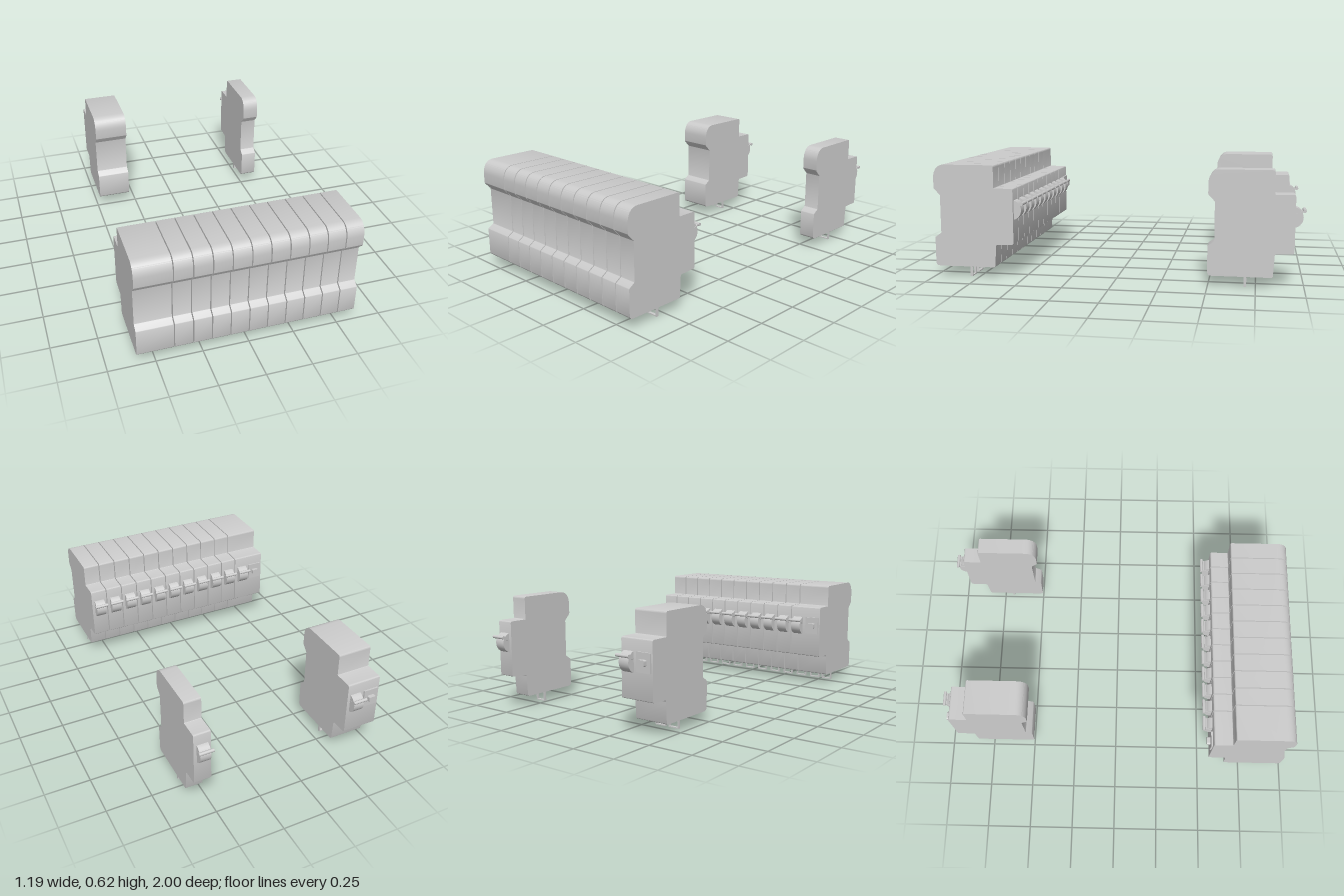
import * as THREE from 'three';
import { toCreasedNormals } from 'three/addons/utils/BufferGeometryUtils.js';

const material = new THREE.MeshStandardMaterial({ color: 0xcccccc });

// side profile of a breaker housing: z, y, corner radius
const PROFILE = [
  [0.997, 0.057, 0.022], [0.997, 0.217, 0.004], [0.962, 0.241, 0.004],
  [0.962, 0.451, 0.004], [0.997, 0.487, 0.006], [0.997, 0.575, 0.03],
  [0.965, 0.618, 0.03], [0.657, 0.618, 0.012], [0.657, 0.493, 0.004],
  [0.551, 0.493, 0.012], [0.551, 0.187, 0.01], [0.65, 0.183, 0.01],
  [0.657, 0.057, 0.012],
];

// closed shape with softened corners
function roundedShape(points) {
  const shape = new THREE.Shape();
  const n = points.length;
  points.forEach(([x, y, r], i) => {
    const p = new THREE.Vector2(x, y);
    const toward = ([qx, qy]) => new THREE.Vector2(qx - x, qy - y).setLength(r).add(p);
    const a = toward(points[(i + n - 1) % n]);
    const b = toward(points[(i + 1) % n]);
    if (i === 0) shape.moveTo(a.x, a.y);
    else shape.lineTo(a.x, a.y);
    shape.quadraticCurveTo(x, y, b.x, b.y);
  });
  shape.closePath();
  return shape;
}

function housingGeometry(width) {
  const g = new THREE.ExtrudeGeometry(roundedShape(PROFILE), {
    depth: width, bevelEnabled: false, curveSegments: 5,
  });
  g.rotateY(-Math.PI / 2).translate(width / 2, 0, 0);
  return toCreasedNormals(g, 0.6);
}

// open rectangular terminal loop
function terminalGeometry() {
  const w = 0.032, wall = 0.006, top = 0.06;
  const outer = new THREE.Shape([
    new THREE.Vector2(-w, 0), new THREE.Vector2(w, 0),
    new THREE.Vector2(w, top), new THREE.Vector2(-w, top),
  ]);
  outer.holes.push(new THREE.Path([
    new THREE.Vector2(-w + wall, wall), new THREE.Vector2(-w + wall, top - wall),
    new THREE.Vector2(w - wall, top - wall), new THREE.Vector2(w - wall, wall),
  ]));
  return new THREE.ExtrudeGeometry(outer, { depth: 0.014, bevelEnabled: false })
    .translate(0, 0, 0.793);
}

const drum = (radius, width) =>
  toCreasedNormals(new THREE.CylinderGeometry(radius, radius, width, 32).rotateZ(Math.PI / 2), 0.6);

const shared = {
  single: housingGeometry(0.094),
  double: housingGeometry(0.194),
  terminal: terminalGeometry(),
  hub: drum(0.055, 0.06),
  neck: new THREE.BoxGeometry(0.066, 0.009, 0.05),
  bar: drum(0.009, 0.08),
  plate: new THREE.BoxGeometry(0.085, 0.1, 0.02),
  button: new THREE.ExtrudeGeometry(roundedShape([
    [-0.021, -0.016, 0.008], [0.021, -0.016, 0.008],
    [0.021, 0.016, 0.008], [-0.021, 0.016, 0.008],
  ]), { depth: 0.025, bevelEnabled: false, curveSegments: 4 }),
};

function add(group, name, geometry, x = 0, y = 0, z = 0) {
  const mesh = new THREE.Mesh(geometry, material);
  mesh.name = name;
  mesh.position.set(x, y, z);
  group.add(mesh);
  return mesh;
}

// rocker drum with a tilted lever ending in a round grip
function addToggle(group, x) {
  const toggle = new THREE.Group();
  toggle.name = 'toggle';
  toggle.position.x = x;
  add(toggle, 'toggleHub', shared.hub, 0, 0.375, 0.565);
  add(toggle, 'toggleLever', shared.neck, 0, 0.4, 0.526).rotation.x = 0.45;
  add(toggle, 'toggleGrip', shared.bar, 0, 0.41, 0.505);
  group.add(toggle);
}

function singleBreaker() {
  const g = new THREE.Group();
  g.name = 'singleBreaker';
  add(g, 'housing', shared.single);
  add(g, 'terminal', shared.terminal);
  addToggle(g, 0);
  return g;
}

function doubleBreaker() {
  const g = new THREE.Group();
  g.name = 'doubleBreaker';
  add(g, 'housing', shared.double);
  add(g, 'terminal', shared.terminal, -0.033);
  add(g, 'terminal', shared.terminal, 0.05);
  addToggle(g, 0.05);
  // test button on its plate
  add(g, 'buttonPlate', shared.plate, -0.045, 0.38, 0.552);
  add(g, 'testButton', shared.button, -0.045, 0.38, 0.521);
  return g;
}

export function createModel() {
  const model = new THREE.Group();
  model.name = 'circuitBreakers';
  const place = (breaker, x, z = 0) => {
    breaker.position.set(x, 0, z);
    model.add(breaker);
  };
  // joined row
  place(doubleBreaker(), -0.5);
  for (let i = 0; i < 10; i++) place(singleBreaker(), -0.35 + 0.1 * i);
  // two loose breakers
  place(doubleBreaker(), -0.385, -1.495);
  place(singleBreaker(), 0.548, -1.495);
  return model;
}
